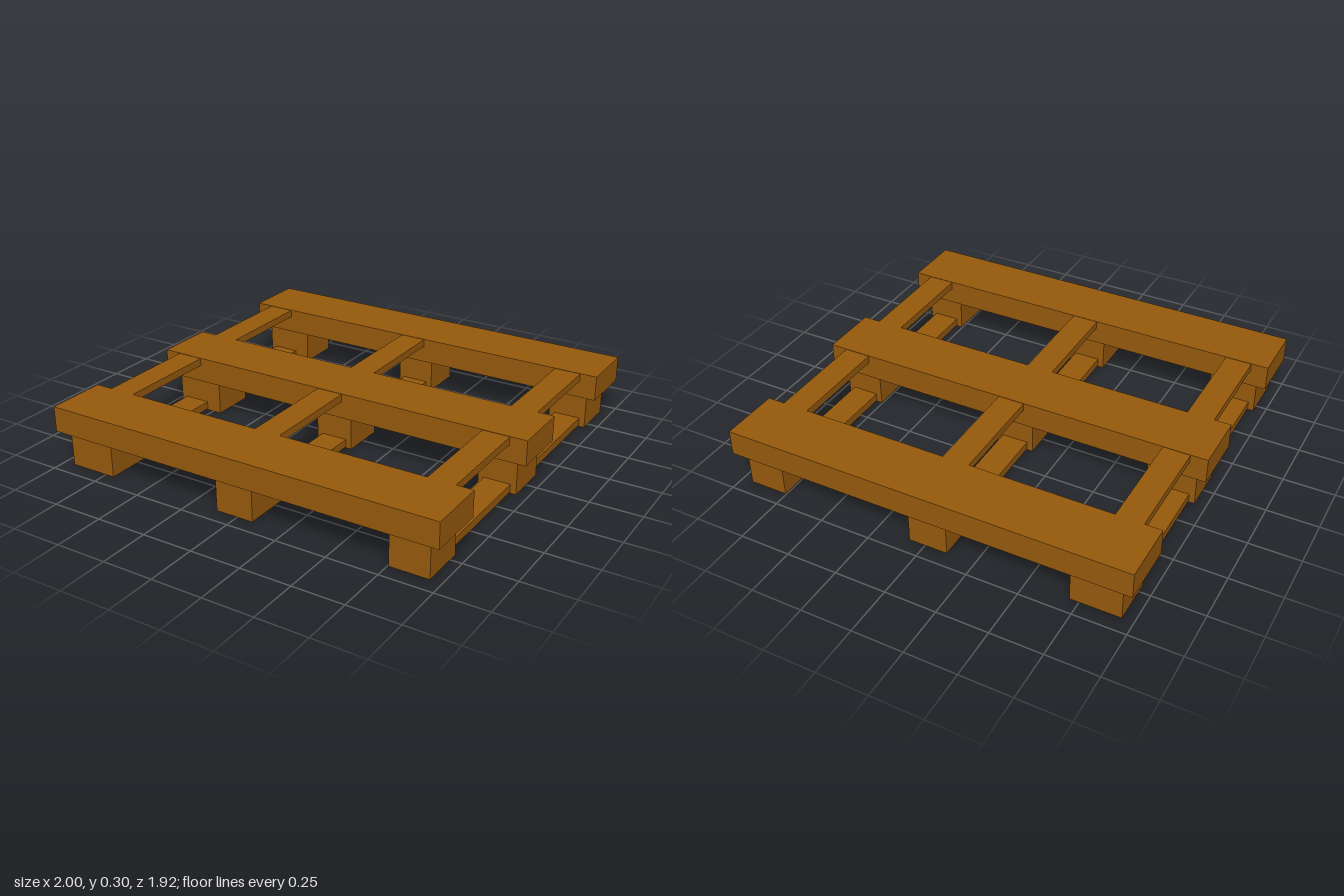
import * as THREE from 'three';

export function createModel() {
  const model = new THREE.Group();
  model.name = 'pallet';
  const wood = new THREE.MeshStandardMaterial({ color: 0x96590c });
  wood.name = 'brown wood';

  // Box given by its limits on each axis
  function box(name, [x0, x1], [y0, y1], [z0, z1]) {
    const mesh = new THREE.Mesh(new THREE.BoxGeometry(x1 - x0, y1 - y0, z1 - z0), wood);
    mesh.name = name;
    mesh.position.set((x0 + x1) / 2, (y0 + y1) / 2, (z0 + z1) / 2);
    model.add(mesh);
  }

  const rows = [-0.814, 0, 0.814];
  // Slat centre and block extent of each column; the right column has wider blocks
  const columns = [
    { centre: -0.85, block: [-0.945, -0.705] },
    { centre: -0.015, block: [-0.11, 0.08] },
    { centre: 0.85, block: [0.755, 0.945] },
  ];

  // Thick deck boards across the width, with feet beneath
  for (const z of rows) {
    box('deckBoard', [-1, 1], [0.175, 0.3], [z - 0.148, z + 0.148]);
    for (const { block } of columns) {
      box('footBlock', block, [0, 0.175], [z - 0.11, z + 0.11]);
    }
  }

  // Thin slats joining the boards above and the feet below
  for (const { centre } of columns) {
    const width = [centre - 0.066, centre + 0.066];
    for (const z of [-0.407, 0.407]) {
      box('topSlat', width, [0.26, 0.298], [z - 0.3, z + 0.3]);
      box('bottomSlat', width, [0.006, 0.045], [z - 0.32, z + 0.32]);
    }
  }
  return model;
}
